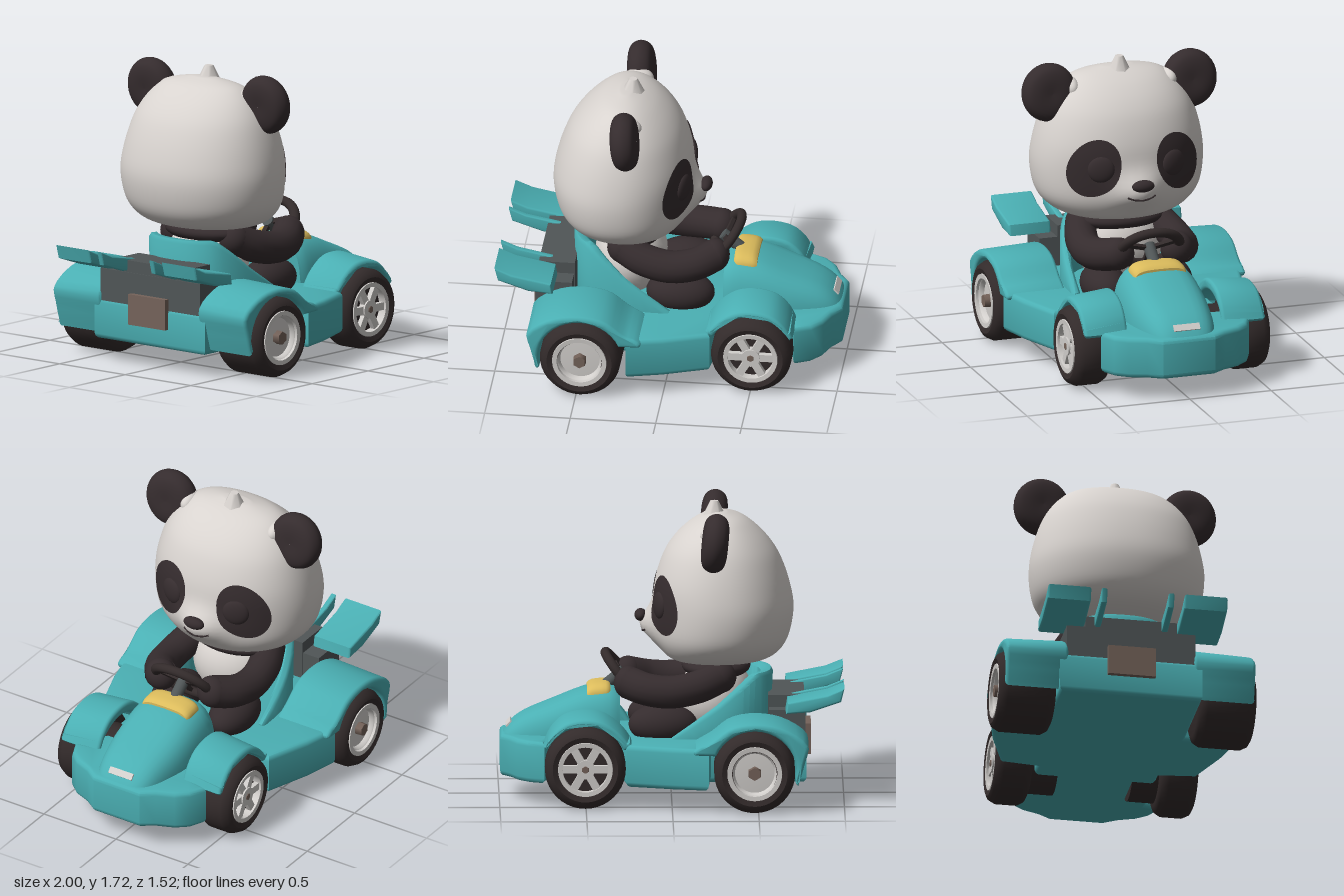
import * as THREE from 'three';
import { toCreasedNormals } from 'three/addons/utils/BufferGeometryUtils.js';

const V = (x, y, z) => new THREE.Vector3(x, y, z);
const mat = (name, color) => new THREE.MeshStandardMaterial({ name, color });
const M = {
  teal: mat('teal paint', 0x4aafb3), white: mat('white fur', 0xd8d3cf), black: mat('black fur', 0x352c2e),
  tyre: mat('tyre rubber', 0x332b2b), rim: mat('rim silver', 0xd2cfcc), yellow: mat('yellow panel', 0xdcbc5c),
  grey: mat('engine grey', 0x505657), brown: mat('brown metal', 0x75635a),
};
M.black.side = M.rim.side = THREE.DoubleSide;

export function createModel() {
  const root = new THREE.Group();
  const add = (name, geo, material, parent = root) => {
    const m = new THREE.Mesh(geo, material);
    m.name = name;
    parent.add(m);
    return m;
  };
  const ball = (name, material, p, r) => {
    const m = add(name, new THREE.SphereGeometry(1, 28, 20), material);
    m.position.set(...p);
    m.scale.set(...r);
    return m;
  };
  const box = (name, material, p, s, parent = root) => {
    const m = add(name, new THREE.BoxGeometry(...s), material, parent);
    m.position.set(...p);
    return m;
  };
  const both = fn => [1, -1].forEach(s => fn(s, s > 0 ? 'left' : 'right'));

  // Extruded side profile between two depths, with softened edges
  const slab = (pts, z0, z1, b) => {
    const g = new THREE.ExtrudeGeometry(new THREE.Shape(pts.map(p => new THREE.Vector2(...p))), {
      depth: z1 - z0 - 2 * b, bevelThickness: b, bevelSize: b, bevelOffset: -b, bevelSegments: 3 });
    return toCreasedNormals(g.translate(0, 0, z0 + b), 0.65);
  };

  // Closed rings joined into a capped solid, turned to face outwards
  const loft = (rings, crease) => {
    const n = rings[0].length, pts = rings.flat(), idx = [];
    for (let i = 0; i < rings.length - 1; i++) for (let j = 0; j < n; j++) {
      const a = i * n + j, b = i * n + (j + 1) % n;
      idx.push(a, b, a + n, b, b + n, a + n);
    }
    [0, rings.length - 1].forEach((r, end) => {
      const c = pts.push(rings[r].reduce((s, p) => s.add(p), V(0, 0, 0)).divideScalar(n)) - 1;
      for (let j = 0; j < n; j++) {
        const a = r * n + j, b = r * n + (j + 1) % n;
        idx.push(...(end ? [a, b, c] : [b, a, c]));
      }
    });
    let vol = 0;
    for (let i = 0; i < idx.length; i += 3) vol += pts[idx[i]].dot(pts[idx[i + 1]].clone().cross(pts[idx[i + 2]]));
    if (vol < 0) idx.reverse();
    const g = new THREE.BufferGeometry().setFromPoints(pts);
    g.setIndex(idx);
    g.computeVertexNormals();
    return crease ? toCreasedNormals(g, crease) : g;
  };
  // Smooth in-between rows for a short table
  const smoothRows = (rows, steps) => {
    const out = [], last = rows.length - 1;
    for (let k = 0; k <= last * steps; k++) {
      const i = Math.min(Math.floor(k / steps), last - 1), t = k / steps - i;
      out.push(rows[i].map((p1, c) => {
        const p2 = rows[i + 1][c], p0 = rows[Math.max(i - 1, 0)][c], p3 = rows[Math.min(i + 2, last)][c];
        return p1 + 0.5 * t * (p2 - p0 + t * (2 * p0 - 5 * p1 + 4 * p2 - p3 + t * (3 * (p1 - p2) + p3 - p0)));
      }));
    }
    return out;
  };
  const pw = (v, e) => Math.sign(v) * Math.abs(v) ** e;

  // Head: rows of height, back, front, half width; the muzzle is a soft bump on the front
  const N = 2.12;
  const muzzle = (y, z) => 0.088 * Math.exp(-((z / 0.14) ** 2) - ((y - 1.0) / 0.105) ** 2);
  const rows = smoothRows([[0.79, -0.45, -0.06, 0.22], [0.81, -0.56, 0.01, 0.34], [0.86, -0.635, 0.055, 0.43],
    [0.95, -0.685, 0.09, 0.49], [1.1, -0.71, 0.1, 0.512], [1.25, -0.685, 0.095, 0.495], [1.4, -0.63, 0.05, 0.452],
    [1.5, -0.565, -0.01, 0.4], [1.58, -0.485, -0.09, 0.328], [1.63, -0.41, -0.17, 0.24], [1.66, -0.32, -0.25, 0.08]], 5);
  add('head', loft(rows.map(([y, a, b, w]) => Array.from({ length: 64 }, (_, j) => {
    const t = j / 64 * Math.PI * 2, c = Math.cos(t), z = w * pw(Math.sin(t), 2 / N);
    return V((a + b) / 2 + (b - a) / 2 * pw(c, 2 / N) + (c > 0 ? muzzle(y, z) : 0), y, z);
  }))), M.white);
  const faceX = (y, z) => {
    const i = Math.max(1, rows.findIndex(r => r[0] >= y)), t = (y - rows[i - 1][0]) / (rows[i][0] - rows[i - 1][0]);
    const [, a, b, w] = rows[i].map((v, c) => THREE.MathUtils.lerp(rows[i - 1][c], v, t));
    return (a + b) / 2 + (b - a) / 2 * Math.max(0, 1 - Math.abs(z / w) ** N) ** (1 / N) + muzzle(y, z);
  };
  ball('nose', M.black, [0.178, 1.05, 0], [0.036, 0.036, 0.068]);
  add('mouth', new THREE.TubeGeometry(new THREE.CatmullRomCurve3([-0.085, -0.045, 0, 0.045, 0.085].map(z => {
    const y = 0.96 + 2.5 * z * z;
    return V(faceX(y, z), y, z);
  })), 20, 0.006, 6), M.black);
  add('tuft', new THREE.CylinderGeometry(0.025, 0.075, 0.1, 7), M.white).position.set(-0.25, 1.67, 0);
  const earShape = new THREE.LatheGeometry(new THREE.SplineCurve([[0.001, -0.072], [0.08, -0.075], [0.14, -0.055], [0.165, 0],
    [0.14, 0.055], [0.08, 0.075], [0.001, 0.072]].map(p => new THREE.Vector2(...p))).getPoints(24), 32).rotateZ(Math.PI / 2);
  both((s, side) => {
    // Eye patch wrapped onto the face
    const g = new THREE.RingGeometry(0.001, 1, 36, 6), p = g.attributes.position;
    for (let i = 0; i < p.count; i++) {
      const u = p.getX(i) * 0.14, v = p.getY(i) * 0.18;
      const z = 0.255 + 0.9 * u - 0.42 * v, y = 1.145 + 0.42 * u + 0.9 * v;
      p.setXYZ(i, faceX(y, z) + 0.009, y, s * z);
    }
    if (s > 0) g.index.array.reverse();
    g.computeVertexNormals();
    add(side + 'EyePatch', g, M.black);
    const eye = ball(side + 'Eye', M.black, [faceX(1.14, 0.22), 1.14, s * 0.22], [0.03, 0.08, 0.08]);
    eye.rotation.y = -s * 0.35;
    const ear = add(side + 'Ear', earShape, M.black);
    ear.position.set(-0.25, 1.54, s * 0.432);
    ear.scale.y = 1.05;
    ear.rotation.z = 0.1;
    ball(side + 'EarBase', M.white, [-0.25, 1.56, s * 0.3], [0.085, 0.06, 0.05]);
  });

  // Driver's body
  ball('torso', M.white, [-0.26, 0.58, 0], [0.21, 0.24, 0.26]);
  ball('shoulders', M.black, [-0.26, 0.755, 0], [0.2, 0.075, 0.28]);
  both((s, side) => {
    const path = [[-0.28, 0.72, 0.22], [-0.16, 0.67, 0.265], [0.0, 0.64, 0.28], [0.14, 0.65, 0.25], [0.25, 0.68, 0.18]]
      .map(([x, y, z]) => V(x, y, z * s));
    add(side + 'Arm', new THREE.TubeGeometry(new THREE.CatmullRomCurve3(path), 24, 0.096, 16), M.black);
    ball(side + 'Shoulder', M.black, path[0].toArray(), [0.096, 0.096, 0.096]);
    ball(side + 'Hand', M.black, path[4].toArray(), [0.085, 0.096, 0.096]);
    ball(side + 'Leg', M.black, [0.05, 0.44, s * 0.2], [0.2, 0.12, 0.13]);
  });

  // Chassis with bumper and side pods in one outline
  const half = [[0.995, 0.16], [0.94, 0.24], [0.9, 0.34], [0.84, 0.41], [0.74, 0.455], [0.72, 0.36], [0.29, 0.36],
    [0.265, 0.58], [0, 0.675], [-0.21, 0.725], [-0.225, 0.42], [-0.78, 0.42]];
  const chassis = slab([...half, ...half.map(([x, z]) => [x, -z]).reverse()], 0.13, 0.375, 0.03);
  add('chassis', chassis.rotateX(-Math.PI / 2), M.teal);

  // Hood: rows of position, top height, half width, base height
  const hood = (r, steps) => loft(smoothRows(r, steps).map(([x, top, w, base]) => Array.from({ length: 32 }, (_, j) => {
    const t = j / 32 * Math.PI * 2, c = Math.cos(t), q = Math.sin(t);
    return V(x, base + (top - base) * pw(Math.max(q, 0), 0.6), w * pw(c, 0.6));
  })), 0.7);
  add('hood', hood([[0.3, 0.62, 0.23, 0.25], [0.36, 0.645, 0.25, 0.25], [0.5, 0.625, 0.255, 0.25], [0.68, 0.555, 0.245, 0.25],
    [0.85, 0.485, 0.21, 0.25], [0.94, 0.42, 0.175, 0.25], [0.99, 0.35, 0.135, 0.25]], 3), M.teal);
  add('hoodPanel', hood([[0.355, 0.655, 0.15, 0.58], [0.38, 0.668, 0.165, 0.58], [0.46, 0.66, 0.165, 0.58],
    [0.49, 0.64, 0.155, 0.58]], 3), M.yellow);
  box('nosePlate', M.rim, [0.945, 0.421, 0], [0.04, 0.009, 0.16]).rotation.z = -0.85;

  // Wraparound seat shell
  const seatTop = x => x < -0.5 ? 0.74 : x < -0.28 ? 0.74 - (x + 0.5) * 0.8 : Math.max(0.38, 0.564 - (x + 0.28) * 0.65);
  add('seat', loft(Array.from({ length: 33 }, (_, i) => {
    const t = (i / 32 - 0.5) * Math.PI, c = Math.max(Math.cos(t), 0) ** 0.75, q = pw(Math.sin(t), 0.8);
    const x = -0.59 * c, y = seatTop(x);
    return [V(x * 0.97, 0.34, q * 0.37), V(x, y - 0.02, q * 0.37), V(x * 0.98, y, q * 0.355), V(x * 0.92, y, q * 0.335),
      V(x * 0.88, y - 0.02, q * 0.32), V(x * 0.84, 0.34, q * 0.31)];
  }), 0.8), M.teal);

  // Engine and rear
  box('rearBody', M.teal, [-0.67, 0.28, 0], [0.2, 0.26, 0.8]);
  box('engine', M.grey, [-0.665, 0.51, 0], [0.21, 0.22, 0.54]);
  box('engineMount', M.grey, [-0.67, 0.455, 0], [0.212, 0.19, 0.76]);
  box('exhaustBox', M.brown, [-0.785, 0.34, 0], [0.05, 0.18, 0.28]);

  // Steering wheel
  const steer = new THREE.Group();
  steer.name = 'steeringWheel';
  steer.position.set(0.29, 0.71, 0);
  steer.rotation.z = -0.67;
  root.add(steer);
  const ring = add('steeringRing', new THREE.TorusGeometry(0.15, 0.028, 12, 36), M.tyre, steer);
  ring.rotation.y = Math.PI / 2;
  ring.scale.x = 1.18;
  for (const a of [0.35, Math.PI - 0.35, Math.PI * 1.5]) {
    const spoke = box('steeringSpoke', M.tyre, [0, Math.sin(a) * 0.075, Math.cos(a) * 0.085], [0.02, 0.03, 0.16], steer);
    spoke.rotation.x = -a;
  }
  const column = add('steeringColumn', new THREE.CylinderGeometry(0.035, 0.035, 0.2, 16), M.grey, steer);
  column.rotation.z = Math.PI / 2;
  column.position.x = 0.08;

  // Fenders: smooth outer line over a round wheel cut-out
  const fender = (outer, cx, a0, a1) => [
    ...new THREE.SplineCurve(outer.map(p => new THREE.Vector2(...p))).getPoints(28).map(p => [p.x, p.y]),
    ...Array.from({ length: 19 }, (_, i) => {
      const a = a0 + (a1 - a0) * i / 18;
      return [cx + 0.246 * Math.cos(a), 0.235 + 0.246 * Math.sin(a)];
    })];
  // Lets the crown of a fender fall away towards its outer edge
  const slopeOut = (g, cx, from, rate) => {
    const p = g.attributes.position;
    for (let i = 0; i < p.count; i++) {
      const x = p.getX(i), y = p.getY(i);
      if (y > 0.4 && Math.hypot(x - cx, y - 0.235) > 0.27) p.setY(i, y - rate * Math.max(0, p.getZ(i) - from));
    }
    return toCreasedNormals(g, 0.65);
  };
  const rearFender = slopeOut(slab(fender([[-0.73, 0.16], [-0.765, 0.28], [-0.785, 0.41], [-0.65, 0.505], [-0.49, 0.535],
    [-0.34, 0.51], [-0.23, 0.43], [-0.13, 0.37], [-0.13, 0.34]], -0.477, 0.42, Math.PI + 0.25), 0.37, 0.735, 0.02), -0.477, 0.66, 0.2);
  const frontFender = slopeOut(slab(fender([[0.22, 0.35], [0.29, 0.45], [0.39, 0.525], [0.5, 0.545], [0.62, 0.52], [0.7, 0.45],
    [0.745, 0.36]], 0.504, 0.45, Math.PI - 0.45), 0.29, 0.555, 0.02), 0.504, 0.44, 0.25);
  const wingLine = [[-1, 0.7], [-0.9, 0.66], [-0.67, 0.615], [-0.66, 0.55], [-0.8, 0.56], [-0.98, 0.62]];
  const wing = slab(wingLine, 0.275, 0.53, 0.012), fin = slab(wingLine, 0.18, 0.215, 0.008);
  both((s, side) => {
    // Mirrored copies reuse the same solid, flipped about the centre plane
    const place = (name, g) => { add(side + name, g, M.teal).scale.z = s; };
    place('RearFender', rearFender);
    place('FrontFender', frontFender);
    place('Wing', wing);
    place('WingFin', fin);
  });

  // Wheels: local +y is the outer side
  const lathe = pts => toCreasedNormals(new THREE.LatheGeometry(pts.map(p => new THREE.Vector2(...p)), 40), 0.7);
  const wheel = (name, x, s, zIn, zOut, spoked) => {
    const w = new THREE.Group(), h = (zOut - zIn) / 2;
    w.name = name;
    w.position.set(x, 0.235, s * (zIn + zOut) / 2);
    w.rotation.x = s * Math.PI / 2;
    root.add(w);
    add('tyre', lathe([[0.001, -h], [0.18, -h], [0.215, -h + 0.015], [0.235, -h + 0.05], [0.235, h - 0.05], [0.215, h - 0.012],
      [0.19, h], [0.16, h - 0.01], [0.15, h - 0.06], [0.001, h - 0.06]]), M.tyre, w);
    add('rimRing', lathe([[0.132, h - 0.058], [0.132, h - 0.006], [0.158, h - 0.004], [0.162, h - 0.03]]), M.rim, w);
    if (spoked) {
      for (let i = 0; i < 6; i++) {
        const a = i * Math.PI / 3;
        box('spoke', M.rim, [Math.cos(a) * 0.078, h - 0.034, Math.sin(a) * 0.078], [0.13, 0.03, 0.045], w).rotation.y = -a;
      }
      add('hub', new THREE.CylinderGeometry(0.055, 0.055, 0.045, 20), M.rim, w).position.y = h - 0.032;
    } else {
      add('rimDish', lathe([[0.001, h - 0.045], [0.115, h - 0.05], [0.122, h - 0.025], [0.128, h - 0.02]]), M.rim, w);
    }
    add('hubNut', new THREE.CylinderGeometry(spoked ? 0.02 : 0.038, 0.042, 0.05, 6), M.brown, w).position.y = h - 0.03;
  };
  both((s, side) => {
    wheel(side + 'FrontWheel', 0.504, s, 0.375, 0.6, true);
    wheel(side + 'RearWheel', -0.477, s, 0.42, 0.76, false);
    const drum = add(side + 'FrontDrum', new THREE.CylinderGeometry(0.16, 0.16, 0.18, 28), M.tyre);
    drum.rotation.x = Math.PI / 2;
    drum.position.set(0.504, 0.235, s * 0.31);
  });
  return root;
}
